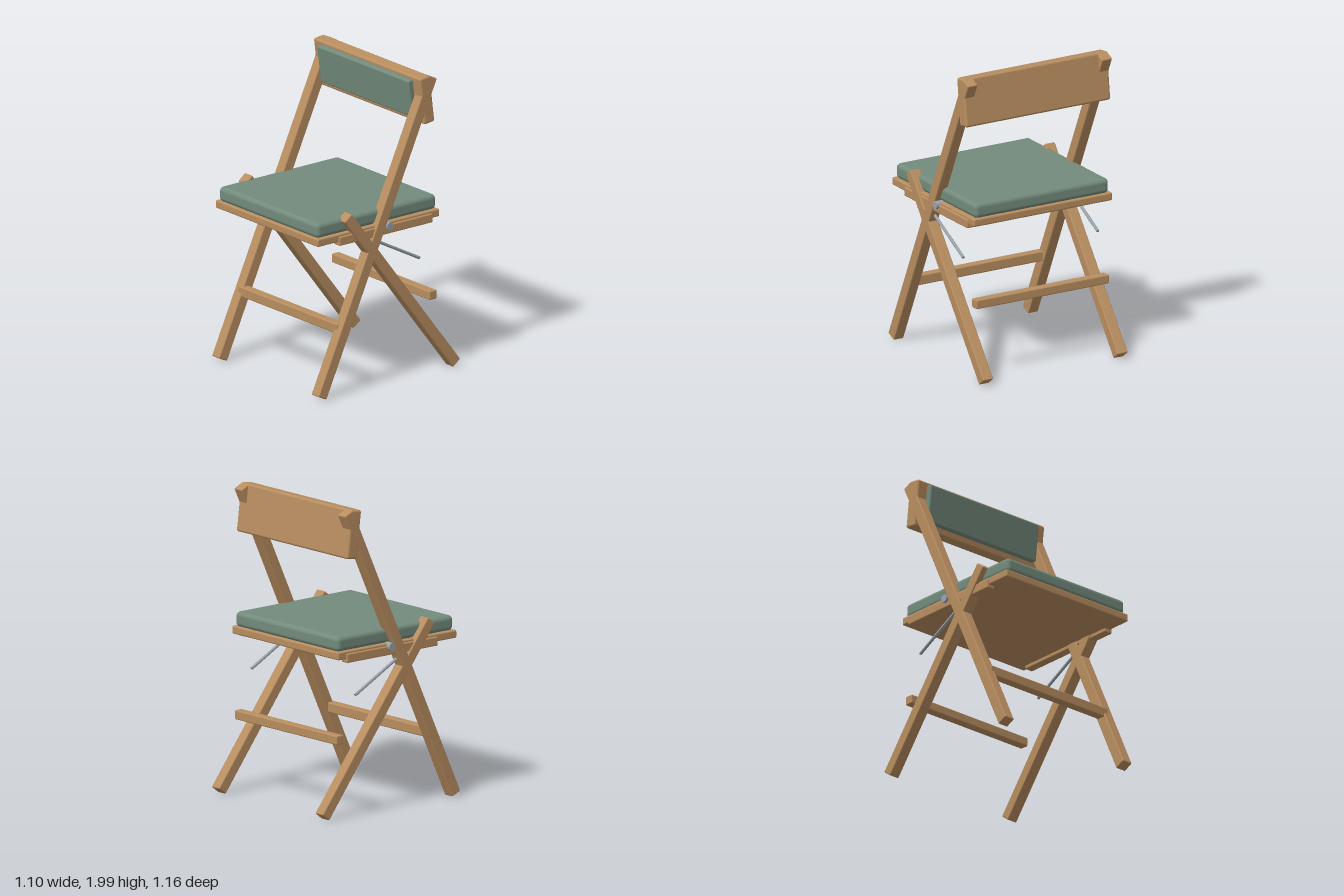
import * as THREE from 'three';
import { RoundedBoxGeometry } from 'three/addons/geometries/RoundedBoxGeometry.js';

const wood = new THREE.MeshStandardMaterial({ color: 0xb98e60 });
const fabric = new THREE.MeshStandardMaterial({ color: 0x738b7c });
const steel = new THREE.MeshStandardMaterial({ color: 0x9aa3aa });

// Softly rounded block, centred on a position
function block(name, [w, h, d], [x, y, z], material = wood, radius = 0.008) {
  const mesh = new THREE.Mesh(new RoundedBoxGeometry(w, h, d, 3, radius), material);
  mesh.name = name;
  mesh.position.set(x, y, z);
  return mesh;
}

// Lays a y-long mesh between two (y, z) points in a side plane
function span(mesh, x, [y0, z0], [y1, z1]) {
  mesh.position.set(x, (y0 + y1) / 2, (z0 + z1) / 2);
  mesh.rotation.x = Math.atan2(z1 - z0, y1 - y0);
  return mesh;
}

function bar(name, x, a, b, depth) {
  const length = Math.hypot(b[0] - a[0], b[1] - a[1]);
  return span(block(name, [0.075, length, depth], [0, 0, 0]), x, a, b);
}

function rod(name, radius, length, sides) {
  const mesh = new THREE.Mesh(new THREE.CylinderGeometry(radius, radius, length, sides), steel);
  mesh.name = name;
  return mesh;
}

export function createModel() {
  const chair = new THREE.Group();
  chair.name = 'foldingChair';

  // Crossed legs, cleat, pivot bolt and stay on each side
  for (const s of [1, -1]) {
    const side = new THREE.Group();
    side.name = s > 0 ? 'leftSide' : 'rightSide';

    const frontLeg = bar('frontLegAndBackPost', s * 0.502, [0.018, 0.548], [1.983, -0.358], 0.075);
    const rearLeg = bar('rearLeg', s * 0.502, [0.025, -0.553], [1.183, 0.338], 0.073);
    const cleat = block('seatCleat', [0.06, 0.06, 0.765], [s * 0.5, 1.035, 0.018]);

    const bolt = rod('pivotBolt', 0.026, 0.09, 24);
    bolt.rotation.z = Math.PI / 2;
    bolt.position.set(s * 0.503, 1.06, 0);

    const a = [0.99, 0.12], b = [0.78, -0.275];
    const stay = rod('stayRod', 0.01, Math.hypot(b[0] - a[0], b[1] - a[1]), 16);
    span(stay, s * 0.502, a, b);

    side.add(frontLeg, rearLeg, cleat, bolt, stay);
    chair.add(side);
  }

  // Stretchers between the legs
  chair.add(block('frontStretcher', [0.995, 0.066, 0.06], [0, 0.44, 0.368]));
  chair.add(block('rearStretcher', [0.99, 0.06, 0.06], [0, 0.502, -0.395]));

  // Seat board and its cushion
  chair.add(block('seatBoard', [1.035, 0.052, 1.0], [0, 1.055, 0.07], wood, 0.01));
  chair.add(block('seatCushion', [1.0, 0.1, 0.98], [0, 1.126, 0.07], fabric, 0.03));

  // Tilted backrest board with its pad
  const backrest = new THREE.Group();
  backrest.name = 'backrest';
  backrest.position.set(0, 1.838, -0.312);
  backrest.rotation.x = 0.122;
  backrest.add(block('backrestBoard', [1.08, 0.318, 0.086], [0, 0, 0], wood, 0.015));
  backrest.add(block('backrestPad', [0.925, 0.252, 0.05], [0, 0.012, 0.055], fabric, 0.012));
  chair.add(backrest);

  return chair;
}
